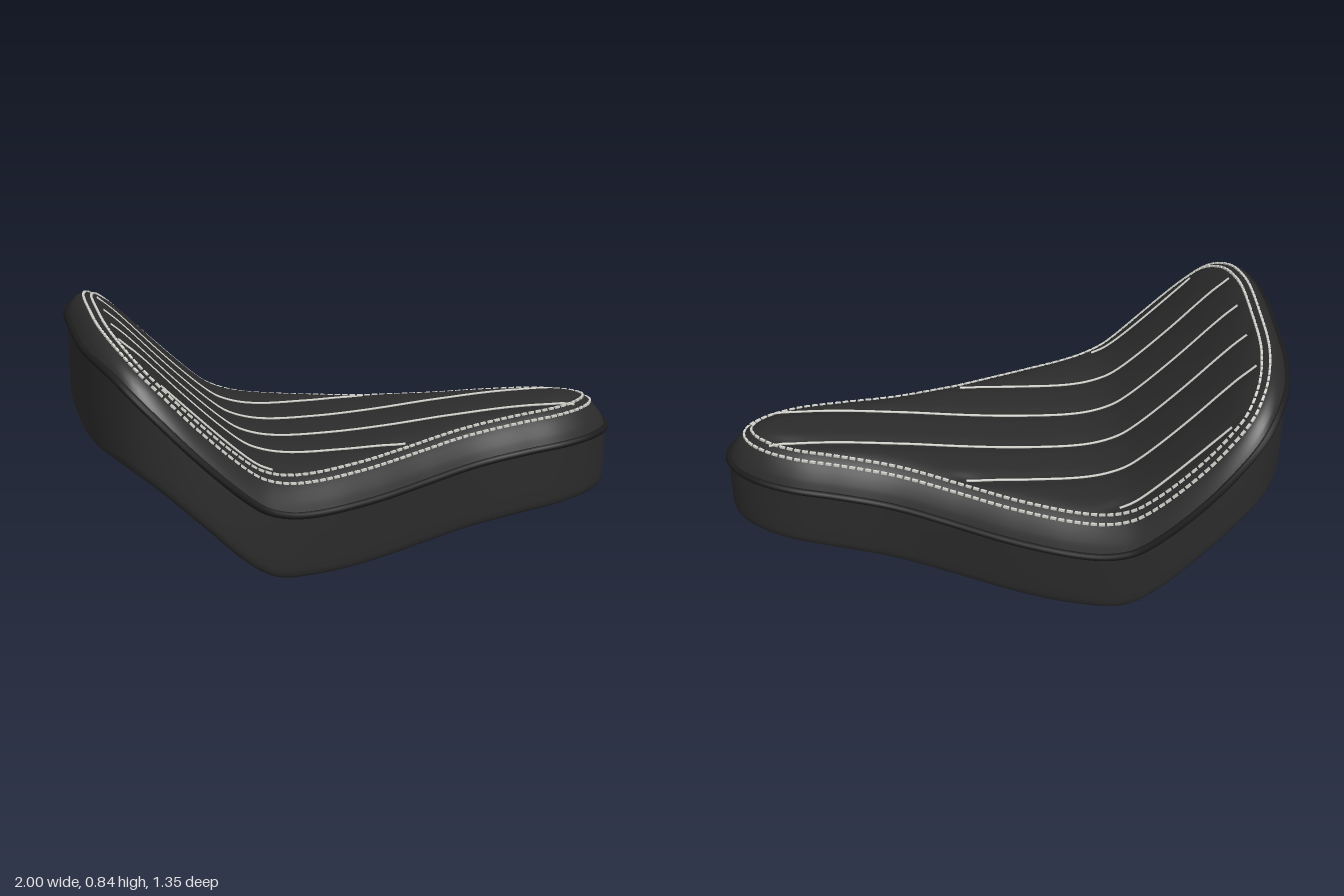
import * as THREE from 'three';
import { mergeVertices, mergeGeometries } from 'three/addons/utils/BufferGeometryUtils.js';

const N = 240; // samples around the plan outline

// Smooth curve through [x, y] pairs, held level beyond both ends
function profile(pts) {
  const slope = (i) => {
    const a = pts[Math.max(i - 1, 0)], b = pts[Math.min(i + 1, pts.length - 1)];
    return (b[1] - a[1]) / (b[0] - a[0]);
  };
  return (x) => {
    if (x <= pts[0][0]) return pts[0][1];
    for (let i = 0; i < pts.length - 1; i++) {
      const [x0, y0] = pts[i], [x1, y1] = pts[i + 1];
      if (x > x1) continue;
      const w = x1 - x0, t = (x - x0) / w, t2 = t * t, t3 = t2 * t;
      return (2 * t3 - 3 * t2 + 1) * y0 + (t3 - 2 * t2 + t) * w * slope(i)
        + (3 * t2 - 2 * t3) * y1 + (t3 - t2) * w * slope(i + 1);
    }
    return pts[pts.length - 1][1];
  };
}

// Side profiles: lower edge, piping seam, and cushion rise against distance from the edge
const bottomY = profile([[-1, 0.45], [-0.9, 0.43], [-0.8, 0.37], [-0.65, 0.235], [-0.5, 0.09], [-0.4, 0.025],
  [-0.28, 0.006], [-0.1, 0], [0.1, 0.008], [0.4, 0.028], [0.7, 0.05], [0.99, 0.074]]);
const seamY = profile([[-1, 0.77], [-0.93, 0.74], [-0.82, 0.635], [-0.65, 0.46], [-0.5, 0.32], [-0.42, 0.265],
  [-0.3, 0.234], [-0.1, 0.23], [0.1, 0.24], [0.35, 0.262], [0.6, 0.28], [1, 0.295]]);
const rise = profile([[0, 0], [0.02, 0.042], [0.05, 0.082], [0.09, 0.113], [0.14, 0.131], [0.22, 0.136]]);

// Plan outline: wide at the back, narrow at the nose
const half = [[-0.98, 0.28], [-0.935, 0.47], [-0.86, 0.59], [-0.75, 0.645], [-0.6, 0.663], [-0.4, 0.64],
  [-0.2, 0.578], [0, 0.495], [0.2, 0.4], [0.4, 0.316], [0.6, 0.264], [0.76, 0.224], [0.88, 0.165], [0.96, 0.085]];
const plan = [[-0.99, 0], ...half, [0.986, 0], ...half.map(([x, z]) => [x, -z]).reverse()];
const outline = new THREE.CatmullRomCurve3(plan.map(([x, z]) => new THREE.Vector3(x, 0, z)), true).getSpacedPoints(N);

// Outline point i moved inwards by d
function inset(i, d) {
  const k = (i + N) % N, a = outline[(k + N - 1) % N], b = outline[(k + 1) % N];
  const dir = b.clone().sub(a).normalize();
  return outline[k].clone().add(new THREE.Vector3(dir.z, 0, -dir.x).multiplyScalar(d));
}

function edgeDistance(x, z) {
  let best = 9;
  for (let i = 0; i < N; i++) {
    const a = outline[i], b = outline[(i + 1) % N], ex = b.x - a.x, ez = b.z - a.z;
    const t = THREE.MathUtils.clamp(((x - a.x) * ex + (z - a.z) * ez) / (ex * ex + ez * ez), 0, 1);
    best = Math.min(best, Math.hypot(x - a.x - t * ex, z - a.z - t * ez));
  }
  return best;
}

// Lengthwise quilting seams: offset from the centre, start and end
const seams = [[0.105, -0.87, 0.83], [0.31, -0.87, 0.13], [0.52, -0.76, -0.39]];

function cushionY(x, z) {
  const d = edgeDistance(x, z);
  let groove = 0;
  for (const [sz, x0, x1] of seams) {
    const along = THREE.MathUtils.smoothstep(x, x0 - 0.08, x0) * (1 - THREE.MathUtils.smoothstep(x, x1, x1 + 0.1));
    groove += along * Math.exp(-(((Math.abs(z) - sz) / 0.035) ** 2));
  }
  return seamY(x) + rise(d) - 0.011 * groove * THREE.MathUtils.smoothstep(d, 0.08, 0.13);
}

// Surface from a grid of points
function grid(nu, nv, point, flip = false) {
  const pos = [], index = [];
  for (let i = 0; i <= nu; i++) for (let j = 0; j <= nv; j++) pos.push(...point(i, j));
  for (let i = 0; i < nu; i++) for (let j = 0; j < nv; j++) {
    const a = i * (nv + 1) + j, b = a + 1, c = a + nv + 1, d = c + 1;
    index.push(...(flip ? [a, c, b, b, c, d] : [a, b, c, b, d, c]));
  }
  const g = new THREE.BufferGeometry();
  g.setAttribute('position', new THREE.Float32BufferAttribute(pos, 3));
  g.setIndex(index);
  const welded = mergeVertices(g, 1e-5);
  welded.computeVertexNormals();
  return welded;
}

export function createModel() {
  const group = new THREE.Group();
  const material = (name, color) => Object.assign(new THREE.MeshStandardMaterial({ color }), { name });
  const leather = material('black leather', 0x2b2b2b);
  const trim = material('piping black', 0x1c1c1c);
  const basePlate = material('base black', 0x202020);
  const thread = material('pale thread', 0xd2d2cc);
  const add = (name, geometry, mat) => {
    const mesh = new THREE.Mesh(geometry, mat);
    mesh.name = name;
    group.add(mesh);
  };

  // Padded top, in strips across the seat
  const rows = 110;
  add('cushion', grid(N / 2, rows, (i, j) => {
    const p = outline[i], z = p.z * Math.sin((j / rows - 0.5) * Math.PI);
    return [p.x, cushionY(p.x, z), z];
  }), leather);

  // Side wall with a rounded lower edge: [share of height, inset, lift]
  const lip = 0.024;
  const wall = [[1, 0, 0], [0.66, 0, 0], [0.33, 0.002, 0], [0, 0.003, 0.035], [0, 0.007, 0.015], [0, 0.014, 0.005], [0, lip, 0]];
  add('sideWall', grid(N, wall.length - 1, (i, j) => {
    const [share, d, lift] = wall[j], p = inset(i, d);
    return [p.x, THREE.MathUtils.lerp(bottomY(p.x) + lift, seamY(p.x), share), p.z];
  }), leather);

  // Underside following the lower profile
  add('underside', grid(N / 2, 8, (i, j) => {
    const p = inset(i, lip);
    return [p.x, bottomY(p.x), p.z * (j / 4 - 1)];
  }, true), basePlate);

  // Piping around the seam
  const pipe = outline.slice(0, N).map((p) => new THREE.Vector3(p.x, seamY(p.x), p.z));
  add('piping', new THREE.TubeGeometry(new THREE.CatmullRomCurve3(pipe, true), N, 0.013, 8, true), trim);

  // Two dashed rows of edge stitching
  const stitches = [];
  for (const d of [0.06, 0.088]) {
    const path = [];
    for (let i = 0; i < N; i += 2) {
      const p = inset(i, d);
      path.push(p.setY(cushionY(p.x, p.z) + 0.002));
    }
    const curve = new THREE.CatmullRomCurve3(path, true);
    const count = Math.round(curve.getLength() / 0.029);
    for (let k = 0; k < count; k++) {
      const dash = new THREE.Object3D();
      dash.position.copy(curve.getPointAt(k / count));
      dash.lookAt(dash.position.clone().add(curve.getTangentAt(k / count)));
      dash.updateMatrix();
      stitches.push(new THREE.BoxGeometry(0.008, 0.008, 0.021).applyMatrix4(dash.matrix));
    }
  }
  add('edgeStitching', mergeGeometries(stitches), thread);

  // Lengthwise quilting lines
  for (const [z, x0, x1] of seams) for (const side of [-1, 1]) {
    const pts = [];
    for (let k = 0; k <= 40; k++) {
      const x = THREE.MathUtils.lerp(x0, x1, k / 40);
      pts.push(new THREE.Vector3(x, cushionY(x, z * side) + 0.003, z * side));
    }
    add(side > 0 ? 'quiltLineLeft' : 'quiltLineRight',
      new THREE.TubeGeometry(new THREE.CatmullRomCurve3(pts), 80, 0.0045, 6), thread);
  }
  return group;
}
